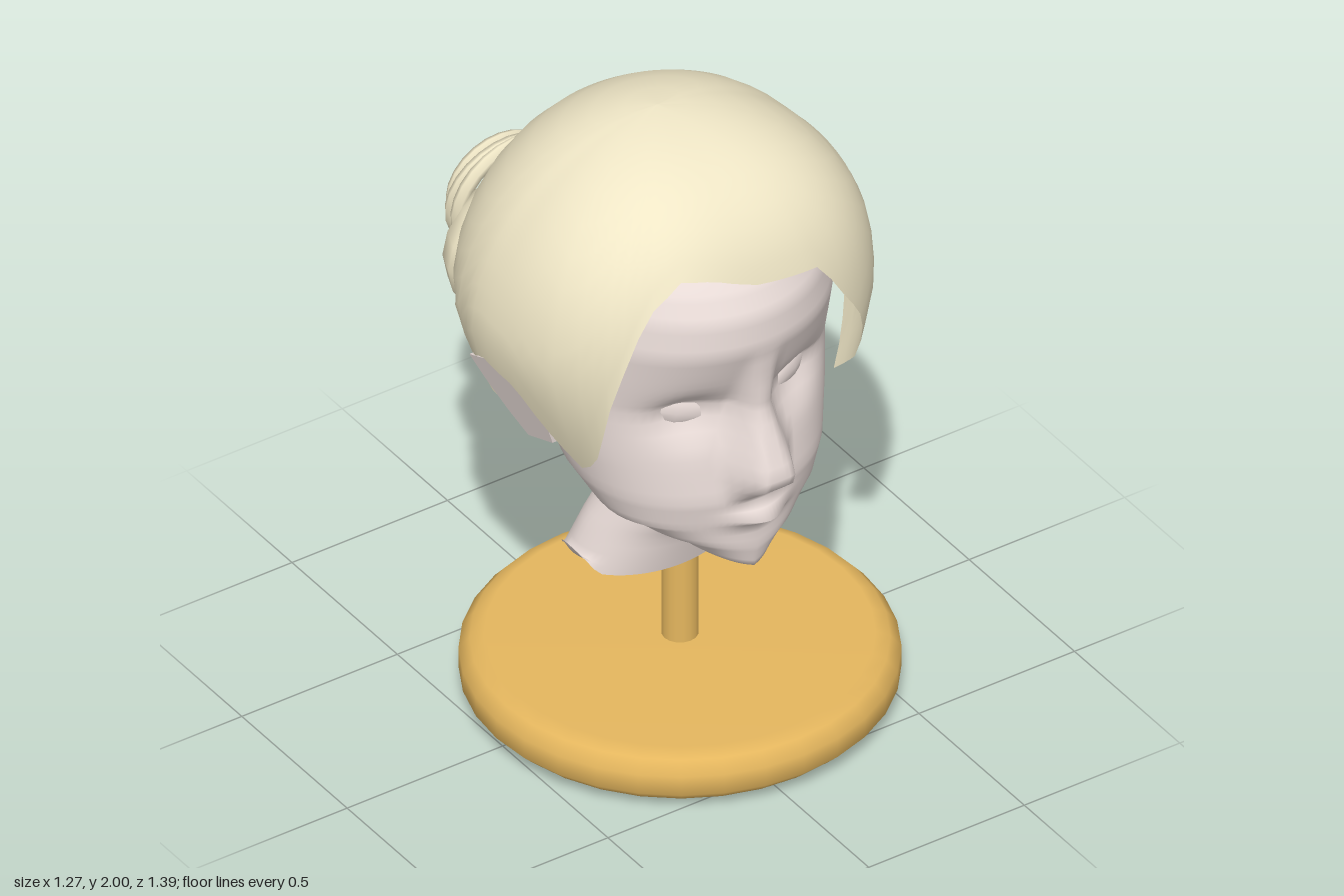
import * as THREE from 'three';

const CX = -0.07; // centre line of the head
const mat = (color) => new THREE.MeshStandardMaterial({ color, side: THREE.DoubleSide });
const { lerp, clamp, smoothstep, degToRad } = THREE.MathUtils;

// Surface from rows running upwards, each a closed loop of points
function loft(rows, cols, point) {
  const pos = [], idx = [];
  for (let i = 0; i < rows; i++) {
    for (let j = 0; j < cols; j++) pos.push(...point(i, j));
  }
  for (let i = 0; i < rows - 1; i++) {
    for (let j = 0; j < cols; j++) {
      const a = i * cols + j, b = i * cols + (j + 1) % cols;
      idx.push(a, b, b + cols, a, b + cols, a + cols);
    }
  }
  const g = new THREE.BufferGeometry();
  g.setAttribute('position', new THREE.Float32BufferAttribute(pos, 3));
  g.setIndex(idx);
  g.computeVertexNormals();
  return g;
}

// Linear lookup in a sorted list of [key, value]
function lookup(list, k) {
  let i = 0;
  while (i < list.length - 2 && k > list[i + 1][0]) i++;
  const [k0, v0] = list[i], [k1, v1] = list[i + 1];
  return lerp(v0, v1, clamp((k - k0) / (k1 - k0), 0, 1));
}

// Head sections: height, half width, front z, z of widest point, back z, rise towards the sides
const SECTIONS = [
  [0.56, 0.25, 0.22, 0.04, -0.1, 0],
  [0.68, 0.2, 0.25, 0.06, -0.06, 0],
  [0.775, 0.15, 0.3, 0.1, -0.04, 0],
  [0.76, 0.16, 0.56, 0.25, -0.04, 0.4],
  [0.83, 0.24, 0.575, 0.33, -0.04, 0.22],
  [0.93, 0.31, 0.575, 0.32, -0.05, 0],
  [1.02, 0.355, 0.59, 0.27, -0.12, 0],
  [1.15, 0.385, 0.565, 0.24, -0.22, 0],
  [1.3, 0.41, 0.545, 0.2, -0.3, 0],
  [1.4, 0.415, 0.58, 0.19, -0.32, 0],
  [1.52, 0.415, 0.625, 0.18, -0.32, 0],
  [1.62, 0.4, 0.615, 0.16, -0.32, 0],
  [1.69, 0.37, 0.57, 0.15, -0.3, 0],
  [1.78, 0.28, 0.44, 0.12, -0.2, 0],
];
const NOSE = [[1.01, 0], [1.1, 0.125], [1.3, 0.065], [1.4, 0.03], [1.5, 0]];
const gauss = (d, s) => Math.exp(-(d * d) / (s * s));

// Nose, eye sockets and lips pushed out of or into the face
function relief(u, y) {
  const width = lerp(0.11, 0.06, smoothstep(y, 1.1, 1.35));
  const nose = lookup(NOSE, y) * clamp(1.7 * (1 - u / width), 0, 1);
  const socket = -0.06 * gauss(u - 0.17, 0.09) * gauss(y - 1.28, 0.065);
  const lips = 0.06 * gauss(u, 0.08) * gauss(y - 0.95, 0.025);
  return nose + socket + lips;
}

function headGeometry() {
  const sub = 4, cols = 64;
  return loft((SECTIONS.length - 1) * sub + 1, cols, (i, j) => {
    const k = Math.min(Math.floor(i / sub), SECTIONS.length - 2);
    const [y, w, zf, zm, zb, rise] = SECTIONS[k].map((v, n) => lerp(v, SECTIONS[k + 1][n], i / sub - k));
    const t = (j / cols) * Math.PI * 2;
    const a = t - 0.6 * Math.sin(t); // finer towards the face
    const c = Math.cos(a), x = w * Math.sin(a), u = Math.abs(x);
    let z = zm + c * (c > 0 ? zf - zm : zm - zb);
    if (c > 0 && k >= 4) z += relief(u, y) * smoothstep(c, 0, 0.5);
    // Notches at both sides of the neck opening
    const notch = i === 0 ? 0.06 * Math.max(0, (Math.abs(Math.sin(a)) - 0.85) / 0.15) : 0;
    return [CX + x, y + notch + rise * u, z];
  });
}

// Hairline: angle from the front towards the left in degrees, height
const HAIRLINE = [
  [-180, 0.98], [-160, 0.98], [-118, 1.03], [-108, 1.15], [-101, 1.33], [-93, 1.38], [-78, 1.35],
  [-59, 1.1], [-51, 1.2], [-42, 1.45], [-34, 1.66], [-24, 1.73], [-14, 1.72], [0, 1.68], [21, 1.65],
  [27, 1.55], [38, 1.4], [48, 1.22], [60, 1.11], [78, 1.35], [93, 1.38], [101, 1.33], [108, 1.15],
  [118, 1.03], [160, 0.98], [180, 0.98],
];

// Rounded cap, fuller at the front and tapering below the temples
function hairGeometry() {
  const rows = 14, cols = 90, cy = 1.44;
  return loft(rows, cols, (i, j) => {
    const deg = -180 + (j / cols) * 360, f = degToRad(deg);
    const h = lookup(HAIRLINE, deg) - cy;
    const end = Math.acos(h / (h > 0 ? 0.56 : 0.75));
    const th = lerp(end, 0.001, i / (rows - 1));
    const dir = [Math.sin(th) * Math.sin(f), Math.cos(th), Math.sin(th) * Math.cos(f)];
    const n = 2 + 0.8 * Math.max(0, dir[2]);
    const r = dir.reduce((sum, v) => sum + Math.abs(v) ** n, 0) ** (-1 / n);
    const dy = dir[1] * (dir[1] > 0 ? 0.56 * r : 0.75);
    const taper = 1 - 0.2 * clamp(-dy / 0.46, 0, 1);
    return [CX + 0.565 * r * taper * dir[0], cy + dy, 0.1 + 0.5 * r * dir[2]];
  });
}

// Flat ear outline leaning outwards to the top and back
function earGeometry() {
  const outline = [[0.2, 1.11], [0.1, 1.08], [0.05, 1.15], [0, 1.24], [-0.03, 1.31],
    [0.03, 1.33], [0.08, 1.38], [0.17, 1.38], [0.21, 1.33]];
  const shape = new THREE.Shape(outline.map(([z, y]) => new THREE.Vector2(-z, y)));
  const g = new THREE.ExtrudeGeometry(shape, { depth: 0.025, bevelEnabled: false });
  g.rotateY(Math.PI / 2);
  const p = g.attributes.position;
  for (let i = 0; i < p.count; i++) {
    p.setX(i, p.getX(i) + 0.36 + 0.33 * (p.getY(i) - 1.05) + 0.2 * (0.2 - p.getZ(i)));
  }
  g.computeVertexNormals();
  return g;
}

export function createModel() {
  const group = new THREE.Group();
  const wood = mat(0xe4b65e), hair = mat(0xefe6c6), skin = mat(0xe6d9d5);
  const add = (name, geometry, material, parent = group) => {
    const m = new THREE.Mesh(geometry, material);
    m.name = name;
    parent.add(m);
    return m;
  };

  // Stand
  const profile = [[0, 0], [0.5, 0], [0.555, 0.025], [0.59, 0.06], [0.59, 0.12], [0.56, 0.155], [0.52, 0.17], [0, 0.17]];
  add('standBase', new THREE.LatheGeometry(profile.map((p) => new THREE.Vector2(...p)), 32), wood)
    .position.set(0.05, 0, 0.03);
  add('standPost', new THREE.CylinderGeometry(0.05, 0.05, 0.82, 16), wood).position.set(0.05, 0.575, 0.03);

  // Head and hair
  add('headAndNeck', headGeometry(), skin);
  add('hairCap', hairGeometry(), hair);

  // Eyes and ears, mirrored
  for (const side of [1, -1]) {
    const half = new THREE.Group();
    half.name = side > 0 ? 'leftFeatures' : 'rightFeatures';
    half.position.x = CX;
    half.scale.x = side;
    add('ear', earGeometry(), skin, half);
    const eye = add('eye', new THREE.SphereGeometry(1, 8, 6), skin, half);
    eye.scale.set(0.1, 0.05, 0.03);
    eye.position.set(0.18, 1.28, 0.445);
    eye.rotation.set(0, 0.4, 0.25);
    group.add(half);
  }

  // Bun
  const bun = add('bun', new THREE.SphereGeometry(1, 14, 10), hair);
  bun.scale.set(0.31, 0.235, 0.17);
  bun.position.set(CX - 0.01, 1.265, -0.42);

  // Hair tie wound in loops that narrow away from the bun
  const tie = new THREE.Group();
  tie.name = 'hairTie';
  [[0.17, 0.03], [0.165, 0.01], [0.145, -0.015], [0.12, -0.03]].forEach(([radius, z], i) => {
    const loop = add('tieLoop', new THREE.TorusGeometry(radius, 0.021, 6, 24), hair, tie);
    loop.position.z = z;
    loop.rotation.set(0.06 * Math.sin(i * 2), 0.06 * Math.cos(i * 2), 0);
  });
  tie.position.set(CX, 1.29, -0.637);
  tie.rotation.x = 0.13;
  group.add(tie);
  return group;
}
